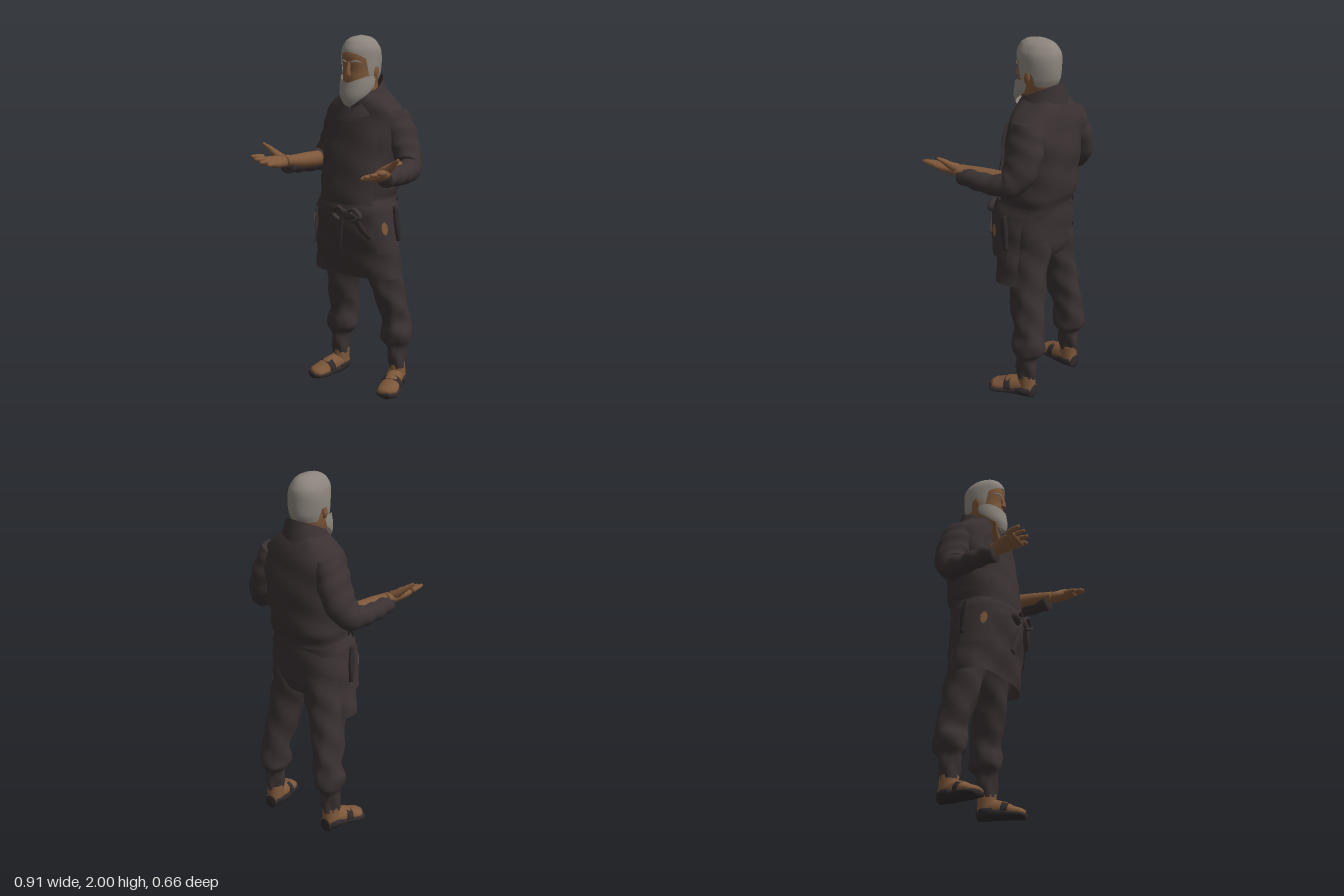
import * as THREE from 'three';
import { mergeVertices } from 'three/addons/utils/BufferGeometryUtils.js';

const mat = (name, color) => new THREE.MeshStandardMaterial({ name, color, side: THREE.DoubleSide });
const { lerp, clamp } = THREE.MathUtils;
const RAD = Math.PI / 180;

// Smooth surface from a grid of points f(u, v), u and v in 0..1
function grid(f, nu, nv) {
  const pos = [], index = [];
  for (let j = 0; j <= nv; j++) for (let i = 0; i <= nu; i++) pos.push(...f(i / nu, j / nv));
  for (let j = 0; j < nv; j++) for (let i = 0; i < nu; i++) {
    const a = j * (nu + 1) + i, d = a + nu + 1;
    index.push(a, a + 1, d + 1, a, d + 1, d);
  }
  let g = new THREE.BufferGeometry();
  g.setAttribute('position', new THREE.Float32BufferAttribute(pos, 3));
  g.setIndex(index);
  g = mergeVertices(g, 1e-5);
  g.computeVertexNormals();
  return g;
}

// Catmull-Rom lookup in rows [key, ...values]
function lookup(rows, key) {
  let i = 0;
  while (i < rows.length - 2 && key > rows[i + 1][0]) i++;
  const t = clamp((key - rows[i][0]) / (rows[i + 1][0] - rows[i][0]), 0, 1);
  const p = rows[Math.max(i - 1, 0)], a = rows[i], b = rows[i + 1], q = rows[Math.min(i + 2, rows.length - 1)];
  return a.map((v, k) => v + 0.5 * t * (b[k] - p[k] + t * (2 * p[k] - 5 * v + 4 * b[k] - q[k] + t * (3 * (v - b[k]) + q[k] - p[k])))).slice(1);
}

// Horizontal rings [y, centreX, halfWidth, frontZ, backZ]; angles in degrees from the front
function shell(rows, { from = -180, to = 180, bottom = rows[0][0], top = rows[rows.length - 1][0],
  grow = 0, power = 1, fold = 0, nu = 48, nv = 28 } = {}) {
  const edge = (e, a) => (typeof e === 'function' ? e(a) : e);
  return grid((u, v) => {
    const deg = lerp(from, to, u), a = deg * RAD;
    const y = lerp(edge(bottom, deg), edge(top, deg), v);
    const [cx, rx, zf, zb] = lookup(rows, y);
    const w = grow + fold * (Math.sin(a * 3 + y * 34) + Math.sin(a * 7 - y * 19) * 0.6);
    const bend = (n) => Math.sign(n) * Math.abs(n) ** power;
    return [cx + (rx + w) * bend(Math.sin(a)), y, (zf + zb) / 2 + ((zf - zb) / 2 + w) * bend(Math.cos(a))];
  }, nu, nv);
}

// Tube along [x, y, z, sideRadius, upRadius], closed at both ends
function limb(pts, side = [1, 0, 0], nu = 16, nv = 24, fold = 0) {
  const curve = new THREE.CatmullRomCurve3(pts.map((p) => new THREE.Vector3(...p)));
  const rows = pts.map((p, i) => [i / (pts.length - 1), p[3], p[4]]);
  return grid((u, v) => {
    const t = clamp((v * nv - 1) / (nv - 2), 0, 1), cap = v === 0 || v === 1 ? 0 : 1;
    const c = curve.getPoint(t), T = curve.getTangent(t);
    const S = new THREE.Vector3(...side).addScaledVector(T, -T.dot(new THREE.Vector3(...side))).normalize();
    const U = T.clone().cross(S), a = u * Math.PI * 2, [ra, rb] = lookup(rows, t);
    const w = fold * Math.sin(t * 42 + Math.sin(a) * 2);
    return c.addScaledVector(S, Math.cos(a) * (ra + w) * cap).addScaledVector(U, Math.sin(a) * (rb + w) * cap).toArray();
  }, nu, nv);
}

export function createModel() {
  const cloth = mat('dark cloth', 0x3a3132), skin = mat('brown skin', 0x7d573a);
  const hair = mat('grey hair', 0x8b847c), sole = mat('dark leather', 0x2f292a);
  const model = new THREE.Group();
  const add = (name, geometry, material) => {
    const m = new THREE.Mesh(geometry, material);
    m.name = name;
    model.add(m);
  };

  // Shirt, collar and neck
  const torso = [[1.07, 0, 0.2, 0.05, -0.285], [1.13, 0, 0.195, 0.06, -0.292], [1.18, 0, 0.207, 0.055, -0.312],
    [1.28, 0, 0.207, 0.045, -0.32], [1.4, 0, 0.217, 0.02, -0.326], [1.5, 0, 0.24, -0.01, -0.322],
    [1.57, 0, 0.24, -0.03, -0.312], [1.62, 0, 0.207, -0.035, -0.3], [1.67, 0, 0.15, -0.045, -0.288], [1.71, 0, 0.1, -0.06, -0.27]];
  add('shirt', shell(torso, { power: 0.85, fold: 0.003, nu: 64, nv: 40 }), cloth);
  add('collar', grid((u, v) => {
    const a = (u - 0.5) * 2 * Math.PI, c = Math.cos(a), r = lerp(0.148, 0.099, v);
    return [r * Math.sin(a), lerp(1.615 - 0.05 * c, 1.728 - 0.06 * c - 0.055 * Math.max(0, c) ** 2, v),
      -0.142 + lerp(0.145, 0.126, v) * c];
  }, 48, 8), cloth);
  add('neck', shell([[1.58, 0, 0.08, -0.06, -0.23], [1.78, 0, 0.07, -0.07, -0.23]], { nv: 4 }), skin);

  // Head
  const skull = [[1.66, 0, 0.04, -0.03, -0.16], [1.7, 0, 0.068, -0.018, -0.2], [1.76, 0, 0.083, -0.01, -0.225],
    [1.82, 0, 0.088, -0.012, -0.235], [1.86, 0, 0.09, -0.006, -0.238], [1.91, 0, 0.088, -0.008, -0.235], [1.97, 0, 0.05, -0.04, -0.2]];
  add('face', shell(skull, { power: 0.9 }), skin);
  add('nose', limb([[0, 1.865, -0.012, 0.009, 0.008], [0, 1.82, 0.001, 0.013, 0.012], [0, 1.79, 0.004, 0.019, 0.013]]), skin);
  const hairRows = [[1.74, 0, 0.085, -0.02, -0.22], [1.8, 0, 0.097, -0.002, -0.245], [1.88, 0, 0.099, 0.002, -0.252],
    [1.93, 0, 0.093, 0, -0.246], [1.97, 0, 0.07, -0.022, -0.22], [1.99, 0, 0.043, -0.055, -0.185], [2, 0, 0.001, -0.115, -0.117]];
  const hem = [[0, 1.918], [30, 1.905], [55, 1.88], [66, 1.77], [84, 1.77], [90, 1.83], [102, 1.83], [112, 1.765], [180, 1.765]];
  const linear = (rows, x) => {
    const i = Math.max(1, rows.findIndex((r) => r[0] >= x));
    return lerp(rows[i - 1][1], rows[i][1], (x - rows[i - 1][0]) / (rows[i][0] - rows[i - 1][0]));
  };
  add('hair', shell(hairRows, { bottom: (a) => linear(hem, Math.min(180, Math.abs(a))), fold: 0.001, nu: 72 }), hair);
  const beard = [[1.615, 0, 0.012, -0.015, -0.05], [1.635, 0, 0.05, 0.008, -0.1], [1.68, 0, 0.085, 0.018, -0.16],
    [1.73, 0, 0.098, 0.012, -0.195], [1.8, 0, 0.096, 0.002, -0.22]];
  add('beard', shell(beard, { from: -98, to: 98, bottom: (a) => 1.615 + 0.1 * (1 - Math.cos(a * RAD)),
    top: (a) => 1.752 + 0.035 * Math.min(1, Math.abs(a) / 60) }), hair);

  // Hips and apron
  add('hips', shell([[0.79, 0, 0.05, -0.12, -0.2], [0.82, 0, 0.14, -0.07, -0.25], [0.88, 0, 0.198, -0.03, -0.272],
    [1, 0, 0.208, 0, -0.283], [1.12, 0, 0.196, 0.02, -0.287]], { power: 0.85, fold: 0.002 }), cloth);
  const apron = [[0.69, 0, 0.268, 0.03, -0.235], [0.85, 0, 0.25, 0.055, -0.245], [1, 0, 0.23, 0.078, -0.255],
    [1.08, 0, 0.218, 0.082, -0.27], [1.13, 0, 0.202, 0.07, -0.285]];
  const wrap = { power: 0.8, nu: 56 };
  add('apronSkirt', shell(apron, { ...wrap, from: -116, to: 116, fold: 0.004 }), cloth);
  add('apronBib', shell([[1.08, 0, 0.212, 0.078, -0.28], [1.2, 0, 0.212, 0.07, -0.3], [1.4, 0, 0.215, 0.042, -0.32], [1.56, 0, 0.22, 0.016, -0.32]],
    { ...wrap, from: -52, to: 52, top: (a) => 1.55 - 0.06 * (Math.abs(a) / 52) ** 6, fold: 0.002 }), cloth);
  add('waistTie', shell(apron, { ...wrap, bottom: 1.06, top: 1.105, grow: 0.008, nv: 4 }), cloth);

  // Knot with two loops and two tails
  add('knot', limb([[0.03, 1.07, 0.09, 0.02, 0.012], [0.055, 1.055, 0.094, 0.028, 0.014], [0.09, 1.07, 0.09, 0.02, 0.012]], [0, 1, 0]), cloth);
  add('leftTail', limb([[0.07, 1.06, 0.094, 0.014, 0.007], [0.11, 1.04, 0.09, 0.02, 0.008], [0.145, 0.98, 0.078, 0.02, 0.008], [0.185, 0.93, 0.055, 0.017, 0.006]]), cloth);
  add('rightTail', limb([[0.045, 1.06, 0.095, 0.014, 0.007], [0.02, 1, 0.097, 0.019, 0.008], [0, 0.92, 0.088, 0.022, 0.008], [-0.025, 0.84, 0.072, 0.024, 0.007]]), cloth);
  for (const [name, s] of [['leftLoop', 1], ['rightLoop', -1]]) add(name, limb([[0.055, 1.06, 0.094, 0.012, 0.008],
    [0.055 + s * 0.05, 1.09, 0.092, 0.018, 0.01], [0.055 + s * 0.09, 1.05, 0.086, 0.024, 0.01], [0.055 + s * 0.045, 1.02, 0.094, 0.016, 0.008]], [0.3, 0.1, 1]), cloth);

  for (const s of [1, -1]) {
    const P = (pts) => pts.map(([x, ...r]) => [x * s, ...r]);
    const label = (part) => (s > 0 ? 'left' : 'right') + part;

    // Pouch, worn patch and hanging tools
    const mid = s * 72, worn = s > 0 ? 70 : -64;
    add(label('Pouch'), shell(apron, { ...wrap, from: mid - 23, to: mid + 23, bottom: 0.84, top: 1.07, grow: 0.014, nu: 16, nv: 12 }), cloth);
    add(label('Patch'), shell(apron, { ...wrap, from: worn - 6, to: worn + 6, grow: 0.018, nu: 10, nv: 8,
      bottom: (a) => 0.945 + 0.025 * ((a - worn) / 6) ** 2, top: (a) => 1.015 - 0.02 * ((a - worn) / 6) ** 2 }), skin);
    add(label('Tool'), limb(P([[0.25, 1.09, -0.09, 0.012, 0.014], [0.258, 1, -0.1, 0.014, 0.022], [0.262, 0.9, -0.11, 0.012, 0.012]])), sole);

    // Trouser leg, bunched above the calf
    const leg = [[0.12, 0.202, 0.044, -0.152, -0.258], [0.18, 0.2, 0.05, -0.145, -0.265], [0.25, 0.198, 0.056, -0.142, -0.268],
      [0.285, 0.19, 0.081, -0.12, -0.3], [0.34, 0.192, 0.086, -0.115, -0.304], [0.4, 0.183, 0.078, -0.127, -0.297], [0.48, 0.174, 0.08, -0.1, -0.288],
      [0.6, 0.153, 0.088, -0.07, -0.275], [0.7, 0.135, 0.098, -0.055, -0.266], [0.8, 0.112, 0.104, -0.045, -0.266], [0.95, 0.1, 0.1, -0.03, -0.275]];
    add(label('Trouser'), shell(leg.map(([y, x, ...r]) => [y, x * s, ...r]), { fold: 0.004, nv: 60, nu: 32 }), cloth);

    // Foot, sole and strap
    add(label('Ankle'), limb(P([[0.2, 0.14, -0.205, 0.045, 0.054], [0.202, 0.04, -0.205, 0.047, 0.054]])), skin);
    add(label('Foot'), limb(P([[0.198, 0.05, -0.25, 0.035, 0.035], [0.205, 0.06, -0.19, 0.047, 0.055], [0.222, 0.055, -0.12, 0.052, 0.046],
      [0.24, 0.04, -0.06, 0.06, 0.032], [0.253, 0.033, -0.02, 0.053, 0.024], [0.26, 0.03, -0.003, 0.025, 0.016]])), skin);
    add(label('Sole'), limb(P([[0.198, 0.03, -0.257, 0.034, 0.03], [0.205, 0.033, -0.19, 0.053, 0.033], [0.222, 0.03, -0.12, 0.06, 0.03],
      [0.243, 0.022, -0.06, 0.068, 0.022], [0.257, 0.018, -0.015, 0.06, 0.018], [0.262, 0.015, 0.004, 0.028, 0.015]])), sole);
    add(label('Heel'), limb(P([[0.198, 0.045, -0.26, 0.03, 0.035], [0.203, 0.045, -0.215, 0.054, 0.038], [0.212, 0.042, -0.165, 0.056, 0.034]])), sole);
    add(label('Strap'), limb(P([[0.22, 0.052, -0.125, 0.058, 0.05], [0.231, 0.045, -0.09, 0.062, 0.043]])), sole);

    // Sleeve, rolled open over the bare forearm
    add(label('Sleeve'), limb(P([[0.17, 1.595, -0.19, 0.065, 0.09], [0.2, 1.5, -0.195, 0.078, 0.105], [0.243, 1.39, -0.2, 0.073, 0.1],
      [0.287, 1.3, -0.165, 0.066, 0.074], [0.314, 1.283, -0.07, 0.055, 0.055], [0.328, 1.287, 0.03, 0.05, 0.052], [0.328, 1.29, 0.13, 0.048, 0.046]]),
    [1, 0, 0], 24, 48, 0.003), cloth);
    add(label('Forearm'), limb(P([[0.27, 1.305, -0.09, 0.042, 0.042], [0.285, 1.305, -0.02, 0.046, 0.043],
      [0.3, 1.308, 0.06, 0.043, 0.038], [0.322, 1.315, 0.15, 0.036, 0.029]])), skin);

    // Open hand, palm up
    const tilt = [1, 0.33 * s, 0];
    add(label('Palm'), limb(P([[0.323, 1.315, 0.11, 0.034, 0.03], [0.338, 1.315, 0.17, 0.045, 0.03],
      [0.352, 1.318, 0.22, 0.052, 0.025], [0.36, 1.326, 0.282, 0.055, 0.016]]), tilt), skin);
    const tips = [[0.306, 1.314, 0.308], [0.345, 1.33, 0.33], [0.383, 1.344, 0.33], [0.42, 1.356, 0.316]];
    tips.forEach(([x, y, z], i) => add(label('Finger' + (i + 1)), limb(P([[0.314 + i * 0.029, 1.313 + i * 0.01, 0.24, 0.017, 0.015],
      [(0.316 + i * 0.029 + x) / 2, 1.317 + i * 0.011, 0.285, 0.016, 0.013], [x, y, z, 0.009, 0.008]]), tilt, 10, 12), skin));
    add(label('Thumb'), limb(P([[0.335, 1.325, 0.15, 0.026, 0.027], [0.375, 1.35, 0.158, 0.022, 0.021],
      [0.415, 1.383, 0.17, 0.014, 0.014], [0.448, 1.408, 0.186, 0.008, 0.008]]), [0, 0, 1], 12, 14), skin);

    // Ear and eyebrow
    add(label('Ear'), limb(P([[0.09, 1.775, -0.115, 0.008, 0.01], [0.096, 1.805, -0.12, 0.009, 0.018], [0.095, 1.835, -0.125, 0.007, 0.012]])), skin);
    add(label('Eyebrow'), limb(P([[0.016, 1.862, -0.006, 0.004, 0.004], [0.04, 1.868, -0.014, 0.005, 0.005], [0.064, 1.86, -0.033, 0.003, 0.003]]), [0, 1, 0], 8, 10), hair);
  }
  return model;
}
